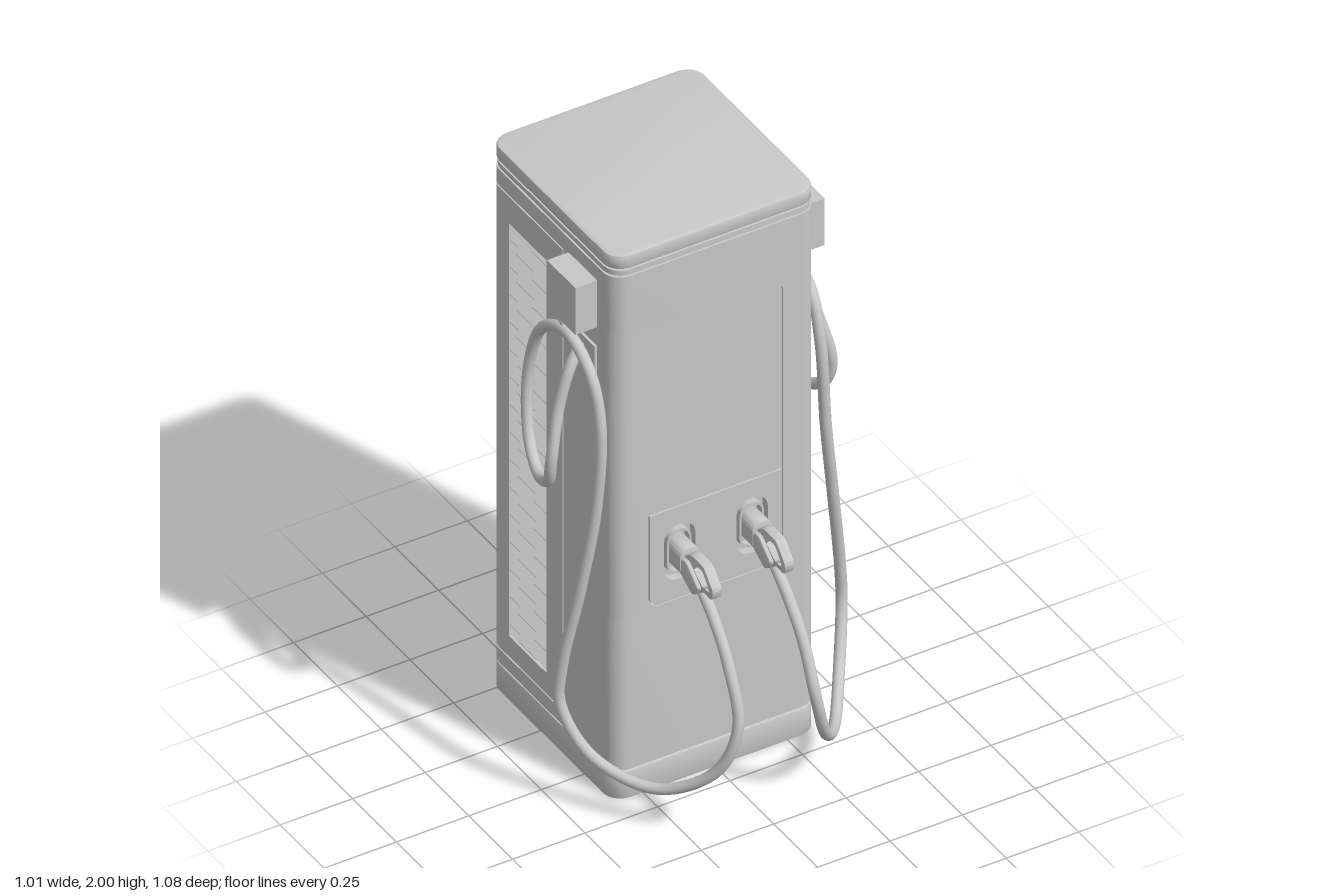
import * as THREE from 'three';
import { toCreasedNormals } from 'three/addons/utils/BufferGeometryUtils.js';

const HALF = 0.355, BACK = -0.54, FRONT = 0.17, R = 0.06;

// Closed outline from [x, y, radius] corners with circular-looking rounding
function outline(points, Type = THREE.Shape) {
  const shape = new Type(), n = points.length, k = 0.4477;
  points.forEach(([x, y, r = 0], i) => {
    const c = new THREE.Vector2(x, y);
    const toward = (p, d) => c.clone().add(new THREE.Vector2(p[0] - x, p[1] - y).setLength(d));
    const prev = points[(i + n - 1) % n], next = points[(i + 1) % n];
    const a = toward(prev, r), b = toward(next, r);
    if (i === 0) shape.moveTo(a.x, a.y); else shape.lineTo(a.x, a.y);
    if (r > 0) {
      const h1 = toward(prev, r * k), h2 = toward(next, r * k);
      shape.bezierCurveTo(h1.x, h1.y, h2.x, h2.y, b.x, b.y);
    }
  });
  shape.closePath();
  return shape;
}

const rect = (x0, x1, y0, y1, r, Type) =>
  outline([[x0, y0, r], [x1, y0, r], [x1, y1, r], [x0, y1, r]], Type);

function extrude(shape, depth, bevel = 0) {
  const g = new THREE.ExtrudeGeometry(shape, {
    depth: depth - 2 * bevel, curveSegments: 8, bevelEnabled: bevel > 0,
    bevelSize: bevel, bevelThickness: bevel, bevelOffset: -bevel, bevelSegments: 2,
  });
  g.translate(0, 0, bevel);
  return toCreasedNormals(g, 0.6);
}

export function createModel() {
  const model = new THREE.Group();
  model.name = 'chargingStation';
  const grey = new THREE.MeshStandardMaterial({ color: 0xc8c8c8 });
  grey.name = 'light grey';

  function add(name, geometry, parent = model) {
    const mesh = new THREE.Mesh(geometry, grey);
    mesh.name = name;
    parent.add(mesh);
    return mesh;
  }
  // Horizontal slab from a plan outline given as [x, z, radius]
  function slab(name, plan, y0, y1, bevel = 0) {
    const shape = outline(plan.map(([x, z, r]) => [x, -z, r]));
    return add(name, extrude(shape, y1 - y0, bevel).rotateX(-Math.PI / 2).translate(0, y0, 0));
  }
  function frontPlate(name, shape, z0, z1, bevel = 0) {
    return add(name, extrude(shape, z1 - z0, bevel).translate(0, 0, z0));
  }
  const plan = (z0, z1, rBack, rFront, i = 0) => [
    [-HALF + i, z0 + i, rBack], [HALF - i, z0 + i, rBack],
    [HALF - i, z1 - i, rFront], [-HALF + i, z1 - i, rFront]];

  // Base, recessed neck and cap
  slab('base', plan(BACK, FRONT, R, R), 0, 0.1, 0.006);
  slab('neck', plan(BACK, FRONT, R, R, 0.012), 1.9, 1.96);
  slab('neckRing', plan(BACK, FRONT, R, R, 0.003), 1.926, 1.944);
  slab('cap', plan(BACK, FRONT, R, R), 1.95, 2, 0.008);

  // Inner core that backs the seams, louvres and front recess
  const inX = HALF - 0.007, deepX = HALF - 0.035;
  slab('core', [
    [-inX, BACK + 0.007, R], [inX, BACK + 0.007, R],
    [inX, -0.425], [deepX, -0.425], [deepX, -0.21], [inX, -0.21],
    [inX, 0.14, 0.03], [-inX, 0.14, 0.03],
    [-inX, -0.21], [-deepX, -0.21], [-deepX, -0.425], [-inX, -0.425]], 0.09, 1.915);

  // Front half of the cabinet, notched for the control panel
  const seam = -0.112;
  slab('frontLower', plan(seam, FRONT, 0, R), 0.107, 0.66);
  slab('frontMiddle', [
    [-HALF, seam], [HALF, seam], [HALF, FRONT, R], [0.25, FRONT],
    [0.25, 0.14], [-0.25, 0.14], [-0.25, FRONT], [-HALF, FRONT, R]], 0.66, 1.71);
  slab('frontUpper', plan(seam, FRONT, 0, R), 1.71, 1.922);

  // Rear door with side vent openings, between two rear strips
  const door = plan(BACK, -0.118, R, 0);
  slab('rearStripLower', plan(BACK, seam, R, 0), 0.107, 0.158);
  slab('rearStripUpper', plan(BACK, seam, R, 0), 1.864, 1.922);
  slab('doorLower', door, 0.164, 0.24);
  slab('doorMiddle', [
    [-HALF, BACK, R], [HALF, BACK, R],
    [HALF, -0.425], [deepX, -0.425], [deepX, -0.21], [HALF, -0.21],
    [HALF, -0.118], [-HALF, -0.118],
    [-HALF, -0.21], [-deepX, -0.21], [-deepX, -0.425], [-HALF, -0.425]], 0.24, 1.76);
  slab('doorUpper', door, 1.76, 1.858);

  // Front panel: frame, recessed screen and lower plug panel
  const frame = rect(-0.25, 0.25, 0.66, 1.71, 0);
  frame.holes.push(rect(-0.232, 0.232, 0.67, 1.7, 0.035, THREE.Path));
  frontPlate('panelFrame', frame, 0.14, FRONT);
  frontPlate('screen', rect(-0.24, 0.24, 1, 1.705, 0), 0.135, FRONT - 0.007);
  const plugPanel = outline([
    [-0.228, 0.674, 0.033], [0.228, 0.674, 0.033], [0.228, 1.008], [-0.228, 1.008]]);
  for (const x of [-0.125, 0.125])
    plugPanel.holes.push(rect(x - 0.054, x + 0.054, 0.742, 0.943, 0.05, THREE.Path));
  frontPlate('plugPanel', plugPanel, 0.135, FRONT);

  for (const s of [1, -1]) {
    const side = new THREE.Group();
    side.name = s > 0 ? 'leftSide' : 'rightSide';
    model.add(side);

    // Vent louvres
    const count = 45, pitch = 1.52 / count;
    for (let i = 0; i < count; i++) {
      const louvre = add('louvre', new THREE.BoxGeometry(0.034, 0.007, 0.215), side);
      louvre.position.set(s * (HALF - 0.017), 0.24 + (i + 0.5) * pitch, -0.3175);
      louvre.rotation.z = -s * 0.55;
    }

    // Socket collar and plug
    const px = s * 0.125;
    const collar = rect(px - 0.042, px + 0.042, 0.762, 0.923, 0.04);
    collar.holes.push(rect(px - 0.035, px + 0.035, 0.77, 0.915, 0.033, THREE.Path));
    add('socketCollar', extrude(collar, 0.03).translate(0, 0, 0.138), side);
    add('plugNose', extrude(rect(px - 0.034, px + 0.034, 0.795, 0.893, 0.028), 0.09, 0.004)
      .translate(0, 0, 0.138), side);

    // Plug handle, a looped grip in the z-y plane
    const grip = outline([
      [0.2, 0.84], [0.225, 0.87, 0.01], [0.26, 0.895, 0.015], [0.335, 0.893, 0.012],
      [0.388, 0.835, 0.012], [0.378, 0.797, 0.012], [0.33, 0.8, 0.01], [0.29, 0.765, 0.005],
      [0.24, 0.79]]);
    grip.holes.push(outline([
      [0.272, 0.85, 0.008], [0.298, 0.878, 0.008], [0.33, 0.878, 0.008],
      [0.37, 0.832, 0.008], [0.364, 0.814, 0.006], [0.322, 0.815, 0.008]], THREE.Path));
    add('plugHandle', extrude(grip, 0.034, 0.004).rotateY(-Math.PI / 2)
      .translate(px + 0.017, 0, 0), side);
    const body = outline([
      [0.205, 0.81, 0.01], [0.215, 0.862, 0.012], [0.255, 0.868, 0.012],
      [0.325, 0.808, 0.01], [0.288, 0.764, 0.01]]);
    add('plugBody', extrude(body, 0.062, 0.01).rotateY(-Math.PI / 2)
      .translate(px + 0.031, 0, 0), side);

    // Cable: from plug to the floor, up over the hook and round to the wall inlet
    const path = [
      [0.125, 0.81, 0.265], [0.125, 0.72, 0.365], [0.128, 0.6, 0.455], [0.135, 0.42, 0.52],
      [0.19, 0.25, 0.48], [0.31, 0.145, 0.335], [0.425, 0.2, 0.17], [0.485, 0.36, 0.085],
      [0.48, 0.5, 0.085], [0.435, 0.8, 0.12], [0.395, 1.1, 0.143], [0.38, 1.4, 0.138],
      [0.383, 1.55, 0.08], [0.385, 1.615, -0.04], [0.39, 1.55, -0.175], [0.4, 1.35, -0.24],
      [0.425, 1.15, -0.195], [0.45, 1.083, -0.1], [0.475, 1.13, 0], [0.484, 1.22, 0.03],
      [0.445, 1.4, 0.01], [0.405, 1.52, 0.005], [0.36, 1.58, -0.01],
    ].map(([x, y, z]) => new THREE.Vector3(s * x, y, z));
    add('cable', new THREE.TubeGeometry(new THREE.CatmullRomCurve3(path), 220, 0.018, 14), side);

    // Cable hanger: box, cord and clip, with the wall inlet below
    const box = (name, w, h, d, x, y, z) =>
      add(name, new THREE.BoxGeometry(w, h, d), side).position.set(s * x, y, z);
    box('hangerBox', 0.075, 0.172, 0.163, 0.3925, 1.785, -0.002);
    add('hangerCord', new THREE.CylinderGeometry(0.008, 0.008, 0.1, 10), side)
      .position.set(s * 0.385, 1.66, -0.068);
    add('hangerCollar', new THREE.CylinderGeometry(0.014, 0.014, 0.045, 12), side)
      .position.set(s * 0.385, 1.665, -0.068);
    add('hangerClip', new THREE.TorusGeometry(0.02, 0.006, 8, 20), side)
      .position.set(s * 0.385, 1.61, -0.065);
    side.children.at(-1).rotation.y = Math.PI / 2;
    box('inletPlate', 0.012, 0.168, 0.128, 0.358, 1.546, 0.015);
    box('inletHood', 0.03, 0.03, 0.06, 0.37, 1.588, -0.012);
  }
  return model;
}
